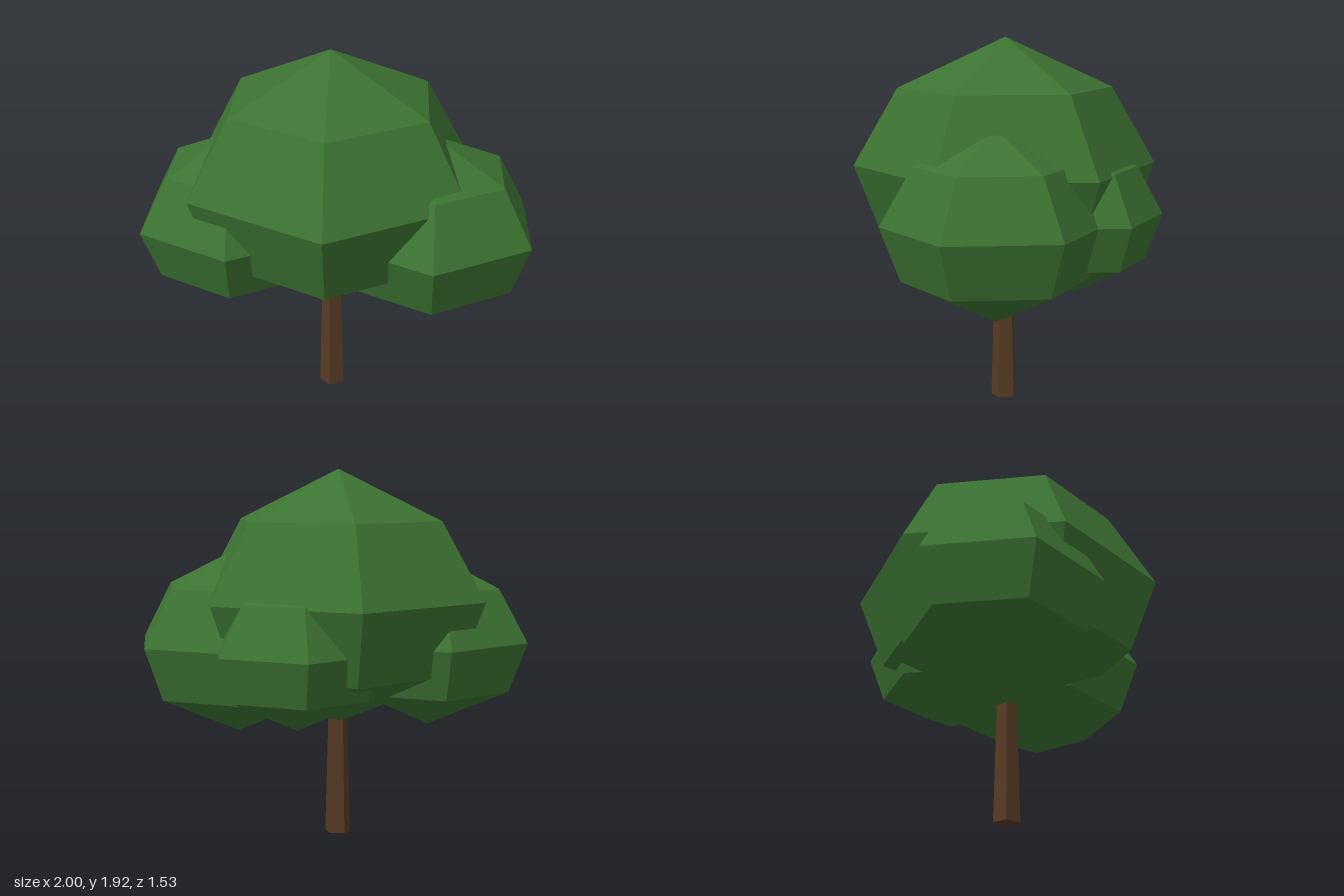
import * as THREE from 'three';

export function createModel() {
  const tree = new THREE.Group();
  tree.name = 'tree';

  const leafGreen = new THREE.MeshStandardMaterial({ color: 0x3c7332, flatShading: true });
  leafGreen.name = 'leafGreen';
  const barkBrown = new THREE.MeshStandardMaterial({ color: 0x573a24, flatShading: true });
  barkBrown.name = 'barkBrown';

  // Tapered five-sided trunk, reaching up into the crown
  const trunk = new THREE.Mesh(
    new THREE.CylinderGeometry(0.045, 0.07, 0.9, 5, 1, false, Math.PI / 2), barkBrown);
  trunk.name = 'trunk';
  trunk.position.set(-0.05, 0.45, 0.045);
  tree.add(trunk);

  // Six-sided foliage clump, fuller below its widest ring than above
  const profile = [[0, -0.86], [0.82, -0.485], [1, 0], [0.707, 0.515], [0, 0.85]]
    .map(([r, y]) => new THREE.Vector2(r, y));
  const clumpGeometry = new THREE.LatheGeometry(profile, 6, Math.PI / 2).toNonIndexed();
  clumpGeometry.computeVertexNormals();

  // name, centre, radius, vertical stretch
  const clumps = [
    ['mainCrown', [-0.055, 1.26, 0.04], 0.79, 0.98],
    ['leftFoliage', [0.437, 1.03, -0.14], 0.563, 1],
    ['rightFoliage', [-0.465, 1.03, 0.3], 0.536, 1],
    ['backFoliage', [0, 1.03, -0.37], 0.46, 1.03],
  ];
  for (const [name, centre, radius, stretch] of clumps) {
    const clump = new THREE.Mesh(clumpGeometry, leafGreen);
    clump.name = name;
    clump.position.set(...centre);
    clump.scale.set(radius, radius * stretch, radius);
    tree.add(clump);
  }

  return tree;
}
